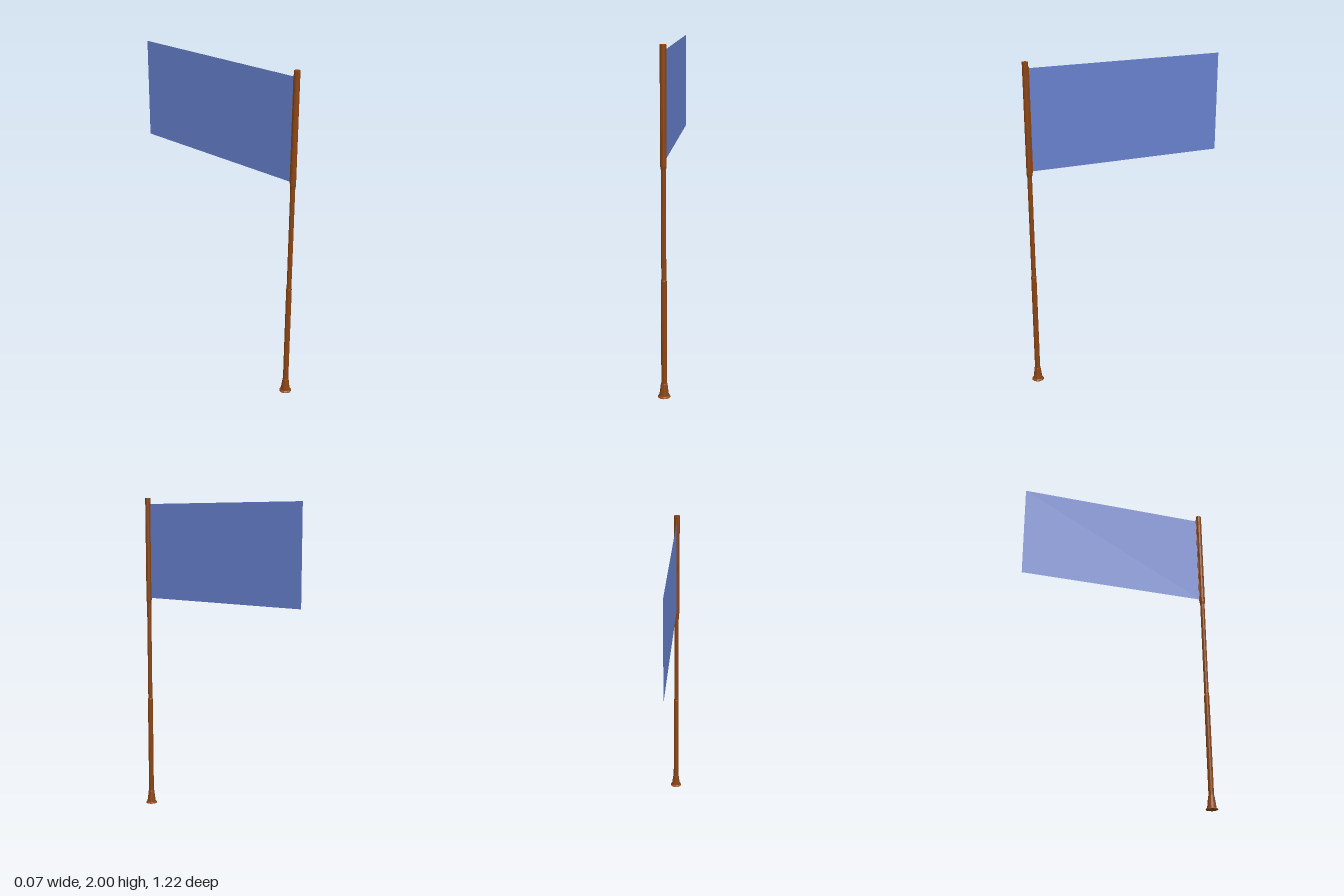
import * as THREE from 'three';

const POLE_Z = 0.575;

export function createModel() {
  const group = new THREE.Group();
  const wood = new THREE.MeshStandardMaterial({ color: 0x8b4513, flatShading: true });
  const cloth = new THREE.MeshStandardMaterial({ color: 0x667fcc, side: THREE.DoubleSide });

  // Turned parts of the pole: [radius, height] profiles, closed at both ends
  const turned = (name, profile) => {
    const points = profile.map(([r, y]) => new THREE.Vector2(r, y));
    const mesh = new THREE.Mesh(new THREE.LatheGeometry(points, 12), wood);
    mesh.name = name;
    mesh.position.z = POLE_Z;
    group.add(mesh);
  };

  // Flared foot
  turned('foot', [[0, 0], [0.037, 0], [0.036, 0.004], [0.028, 0.01], [0.024, 0.04], [0.019, 0.08], [0.017, 0.085], [0, 0.085]]);
  // Thicker lower shaft, slimmer middle shaft, thicker upper sleeve
  turned('lowerShaft', [[0, 0.08], [0.0165, 0.08], [0.0165, 0.705], [0.014, 0.712], [0, 0.712]]);
  turned('middleShaft', [[0, 0.7], [0.014, 0.7], [0.014, 1.35], [0, 1.35]]);
  turned('upperSleeve', [[0, 1.335], [0.014, 1.335], [0.0175, 1.355], [0.0175, 2], [0, 2]]);

  // Narrow hem holding the cloth to the sleeve
  const hem = new THREE.Mesh(new THREE.BoxGeometry(0.008, 0.61, 0.008), wood);
  hem.name = 'flagHem';
  hem.position.set(0, 1.667, POLE_Z - 0.017);
  group.add(hem);

  // Flat flag flying towards the back
  const flag = new THREE.Mesh(new THREE.PlaneGeometry(1.17, 0.594).rotateY(Math.PI / 2), cloth);
  flag.name = 'flag';
  flag.position.set(0, 1.667, -0.026);
  group.add(flag);

  return group;
}
